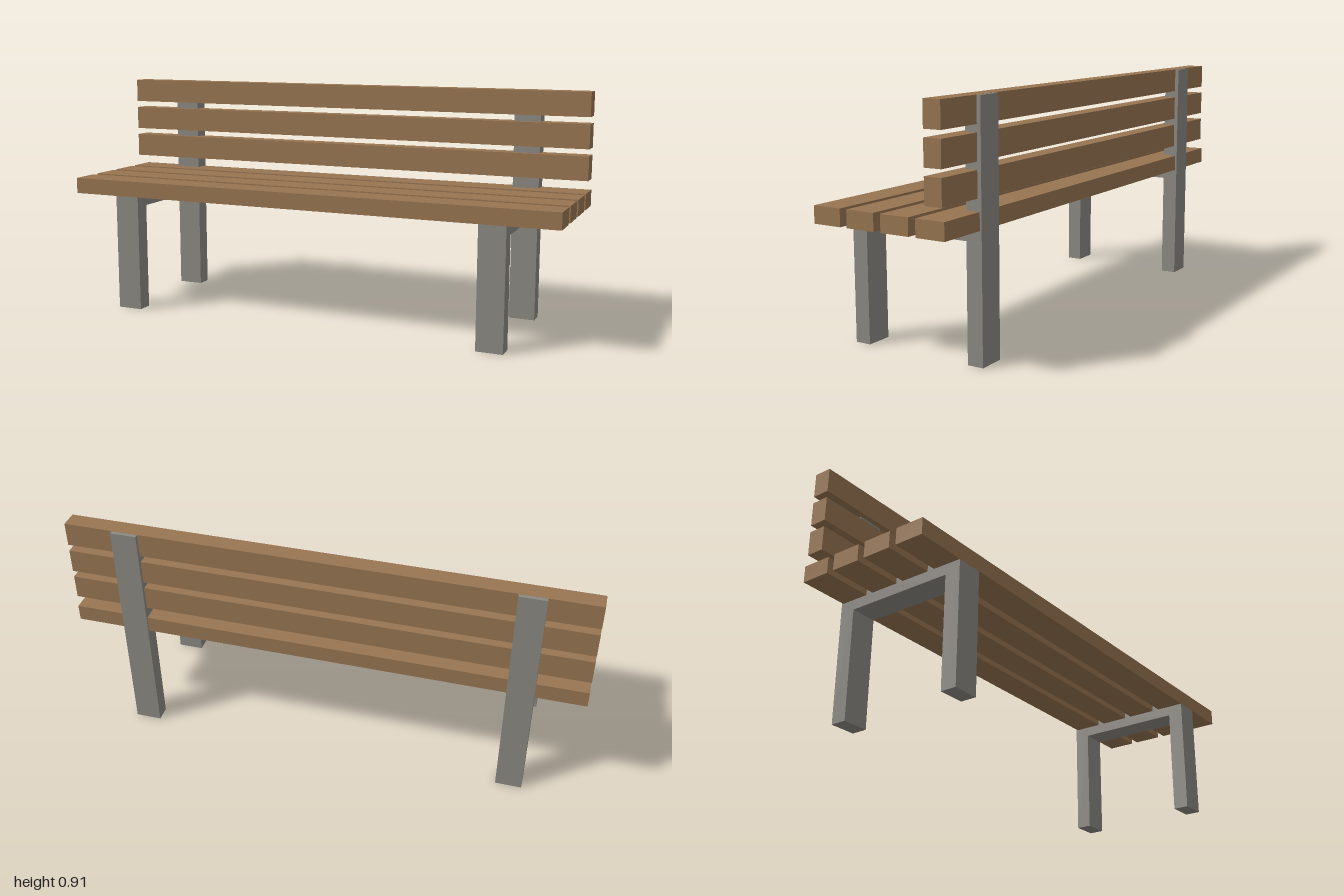
import * as THREE from 'three';

export function createModel() {
  const wood = new THREE.MeshStandardMaterial({ name: 'brown wood', color: 0x987551 });
  const metal = new THREE.MeshStandardMaterial({ name: 'grey frame', color: 0x8c8982 });
  const bench = new THREE.Group();
  bench.name = 'bench';

  // Full-length plank given by its y and z limits
  const plank = (name, y0, y1, z0, z1) => {
    const mesh = new THREE.Mesh(new THREE.BoxGeometry(2, y1 - y0, z1 - z0), wood);
    mesh.position.set(0, (y0 + y1) / 2, (z0 + z1) / 2);
    mesh.name = name;
    bench.add(mesh);
  };

  // Four seat slats, front to back
  for (let i = 0; i < 4; i++) {
    const front = 0.2735 - i * 0.142;
    plank('seatSlat' + (i + 1), 0.464, 0.527, front - 0.1135, front);
  }

  // Three backrest slats, bottom to top
  for (let i = 0; i < 3; i++) {
    const bottom = 0.57 + i * 0.121;
    plank('backSlat' + (i + 1), bottom, bottom + 0.094, -0.258, -0.19);
  }

  // Side frame in profile: front leg, seat rail and tall back post (shape x is -z)
  const profile = new THREE.Shape([
    [-0.273, 0], [-0.212, 0], [-0.212, 0.424], [0.212, 0.424], [0.212, 0],
    [0.273, 0], [0.273, 0.9055], [0.212, 0.9055], [0.212, 0.485], [-0.273, 0.485],
  ].map(([x, y]) => new THREE.Vector2(x, y)));
  const width = 0.102;
  const frameGeometry = new THREE.ExtrudeGeometry(profile, { depth: width, bevelEnabled: false });
  frameGeometry.translate(0, 0, -width / 2);
  frameGeometry.rotateY(Math.PI / 2);

  for (const side of [-1, 1]) {
    const frame = new THREE.Mesh(frameGeometry, metal);
    frame.position.x = side * 0.757;
    frame.name = side > 0 ? 'leftFrame' : 'rightFrame';
    bench.add(frame);
  }

  return bench;
}
